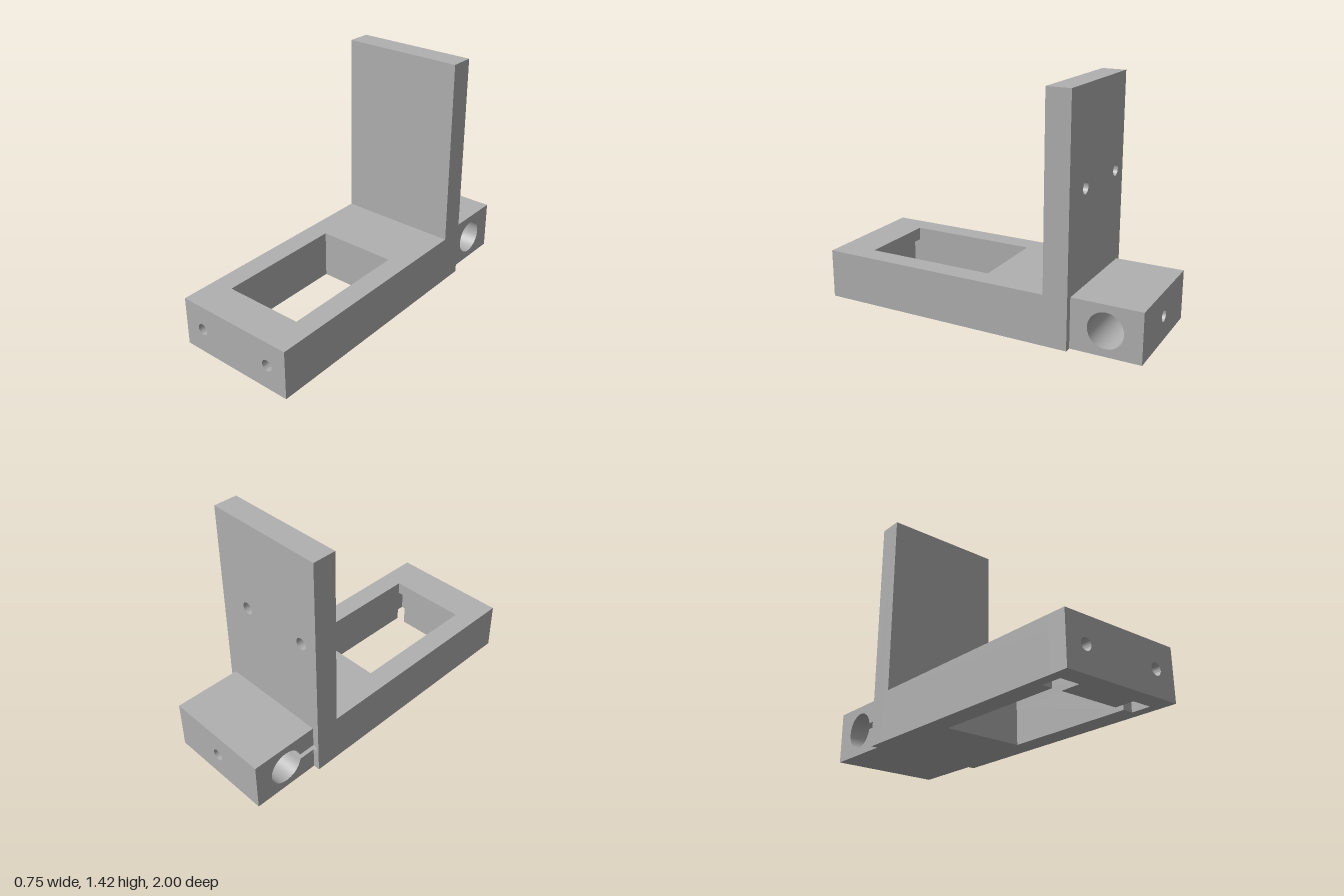
import * as THREE from 'three';
import { toCreasedNormals } from 'three/addons/utils/BufferGeometryUtils.js';

const W = 0.375;      // half width of base and upright
const H = 0.3;        // base height
const BACK = -0.585;  // rear face of base and upright
const AXIS = 0.15;    // height of all bores in the base and clamp
const R = 0.036;      // screw hole radius

function polygon(points) {
  return new THREE.Shape(points.map(([x, y]) => new THREE.Vector2(x, y)));
}
function rect(x0, x1, y0, y1) {
  return polygon([[x0, y0], [x1, y0], [x1, y1], [x0, y1]]);
}
function drill(shape, x, y, r) {
  shape.holes.push(new THREE.Path().absarc(x, y, r, 0, Math.PI * 2, true));
  return shape;
}

export function createModel() {
  const model = new THREE.Group();
  const grey = new THREE.MeshStandardMaterial({ color: 0xb0b0b0 });
  grey.name = 'grey plastic';

  // Extrude a shape from a to b along one axis.
  // Along y the shape is drawn in (x, -z); along x it is drawn in (-z, y).
  function prism(name, shape, axis, a, b) {
    let g = new THREE.ExtrudeGeometry(shape, { depth: b - a, bevelEnabled: false, curveSegments: 24 });
    g.translate(0, 0, a);
    if (axis === 'y') g.rotateX(-Math.PI / 2);
    if (axis === 'x') g.rotateY(Math.PI / 2);
    g = toCreasedNormals(g, 0.6);
    const mesh = new THREE.Mesh(g, grey);
    mesh.name = name;
    model.add(mesh);
  }

  // Base frame: window, and nut slots open below at its front corners
  const win = 0.247, winBack = -0.03, winFront = 0.772, slotEnd = 0.89;
  const slotIn = 0.187, slotOut = 0.31, slotTop = 0.22, skin = -0.485, front = -0.44;
  const half = [[W, -skin], [W, -slotEnd], [slotOut, -slotEnd], [slotOut, -winFront],
    [win, -winFront], [win, -winBack]];
  const mirrored = half.map(([x, y]) => [-x, y]).reverse();
  prism('baseLower', polygon([...half, ...mirrored]), 'y', 0, slotTop);
  prism('windowFrontWall', rect(-slotIn, slotIn, -slotEnd, -winFront), 'y', 0, slotTop);
  const upper = rect(-W, W, -slotEnd, -skin);
  upper.holes.push(rect(-win, win, -winFront, -winBack));
  prism('baseUpper', upper, 'y', slotTop, H);

  // Front plate with two screw holes
  const plate = rect(-W, W, 0, H);
  for (const s of [-1, 1]) drill(plate, s * 0.245, AXIS, 0.034);
  prism('frontPlate', plate, 'z', slotEnd, 1);

  // Upright: solid front layer, rear layer with blind holes and the slit recess
  const top = 1.425, slitLow = 0.135, slitHigh = 0.17, slitEnd = -0.1;
  prism('uprightFront', rect(-W, W, H, top), 'z', skin, front);
  const rear = rect(-W, W, 0, top);
  for (const x of [0.165, -0.265]) drill(rear, x, 0.865, R);
  rear.holes.push(rect(-0.358, slitEnd, slitLow, slitHigh));
  prism('uprightRear', rear, 'z', BACK, skin);

  // Clamp block: cross bore, with a slit from the bore on the right-hand end
  const cw = 0.335, boreX = 0.79, boreR = 0.105, wall = 0.9;
  prism('clampBody', drill(rect(-BACK, wall, 0, H), boreX, AXIS, boreR), 'x', slitEnd, cw);
  const lowAngle = Math.PI + Math.asin((AXIS - slitLow) / boreR);
  const highAngle = Math.PI - Math.asin((slitHigh - AXIS) / boreR);
  const split = new THREE.Shape();
  split.moveTo(-BACK, slitLow);
  split.lineTo(-BACK, 0);
  split.lineTo(wall, 0);
  split.lineTo(wall, H);
  split.lineTo(-BACK, H);
  split.lineTo(-BACK, slitHigh);
  split.absarc(boreX, AXIS, boreR, highAngle, lowAngle - Math.PI * 2, true);
  split.closePath();
  prism('clampSlitEnd', split, 'x', -cw, slitEnd);

  // Rear wall of the clamp with its set screw hole
  prism('clampRearWall', drill(rect(-cw, cw, 0, H), 0, AXIS, R), 'z', -1, -wall);

  return model;
}
